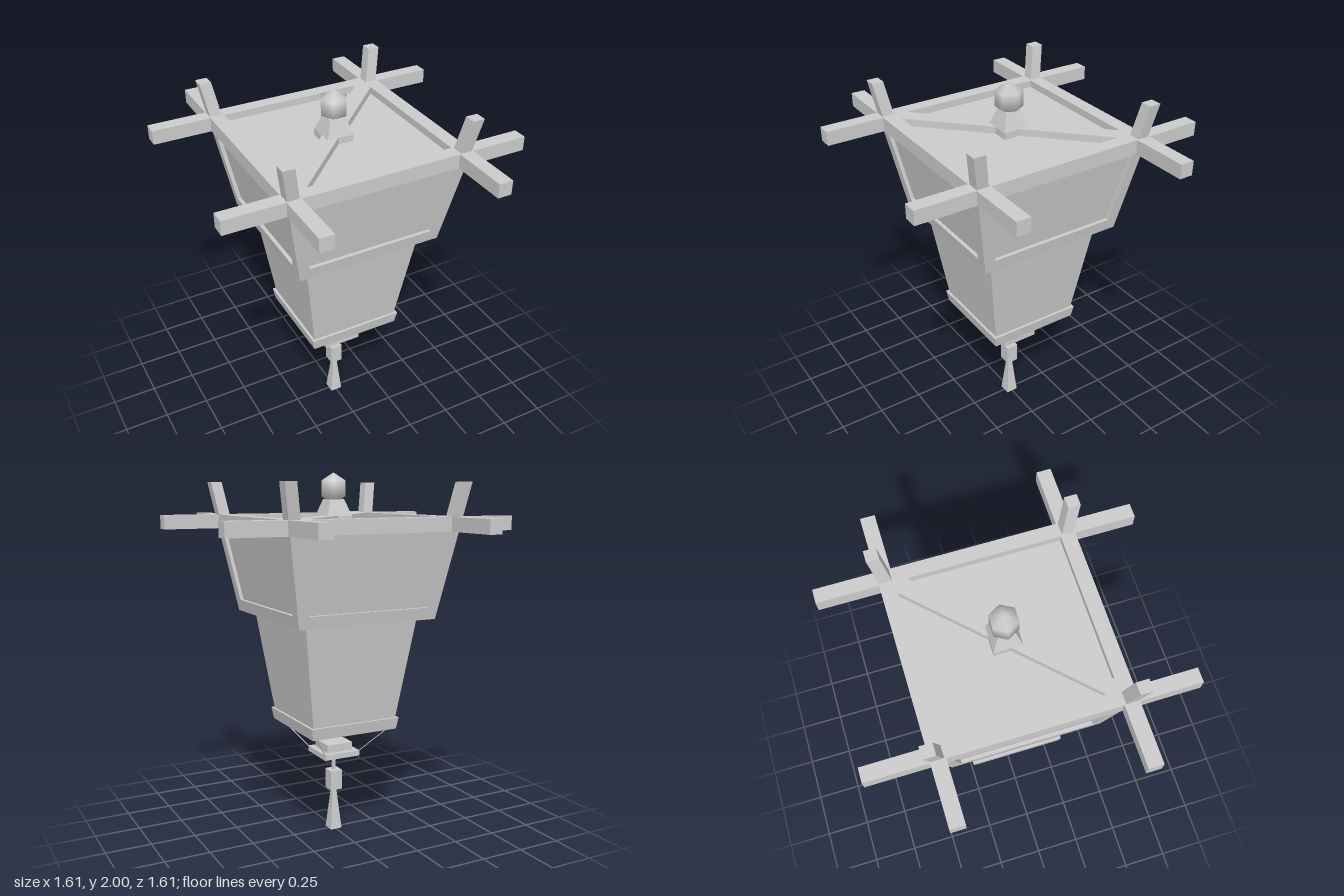
import * as THREE from 'three';

const material = new THREE.MeshStandardMaterial({ color: 0xcccccc });

function add(parent, name, geometry) {
  const mesh = new THREE.Mesh(geometry, material);
  mesh.name = name;
  parent.add(mesh);
  return mesh;
}

// Square block from y0 to y1 whose half width and corner offset change with height
function taper(y0, y1, half0, half1, offset0 = [0, 0], offset1 = [0, 0]) {
  const geometry = new THREE.BoxGeometry(2, 2, 2);
  const p = geometry.attributes.position;
  for (let i = 0; i < p.count; i++) {
    const top = p.getY(i) > 0;
    const half = top ? half1 : half0;
    const [ox, oz] = top ? offset1 : offset0;
    p.setXYZ(i, p.getX(i) * half + ox, top ? y1 : y0, p.getZ(i) * half + oz);
  }
  geometry.computeVertexNormals();
  return geometry;
}

export function createModel() {
  const lantern = new THREE.Group();
  lantern.name = 'hangingLantern';

  // Outer half width of the sloping upper frame at a given height
  const outer = (y) => 0.397 + 0.175 * (y - 1.24);
  const postHalf = 0.031;

  // Lower body with its bottom band
  add(lantern, 'lowerBody', taper(0.63, 1.25, 0.243, 0.329));
  add(lantern, 'bottomBand', taper(0.62, 0.685, 0.254, 0.265));

  // Upper body: bottom rail and recessed panels
  add(lantern, 'upperRail', taper(1.24, 1.305, outer(1.24), outer(1.305)));
  add(lantern, 'upperPanels', taper(1.3, 1.72, outer(1.3) - 0.02, outer(1.72) - 0.02));

  // Leaning corner posts and the cords under each corner
  for (const sx of [-1, 1]) {
    for (const sz of [-1, 1]) {
      const at = (y) => [sx * (outer(y) - postHalf), sz * (outer(y) - postHalf)];
      add(lantern, 'cornerPost', taper(1.24, 1.95, postHalf, postHalf, at(1.24), at(1.95)));
      const cord = new THREE.LineCurve3(
        new THREE.Vector3(sx * 0.226, 0.625, sz * 0.226),
        new THREE.Vector3(sx * 0.102, 0.47, sz * 0.102),
      );
      add(lantern, 'cord', new THREE.TubeGeometry(cord, 1, 0.003, 4));
    }
  }

  // Crossing roof beams
  for (const s of [-1, 1]) {
    add(lantern, 'sideBeam', new THREE.BoxGeometry(0.075, 0.075, 1.61)).position.set(s * 0.457, 1.7375, 0);
    add(lantern, 'crossBeam', new THREE.BoxGeometry(1.61, 0.075, 0.075)).position.set(0, 1.7375, s * 0.457);
  }

  // Recessed roof board with a diagonal brace
  add(lantern, 'roofBoard', new THREE.BoxGeometry(0.86, 0.03, 0.86)).position.y = 1.722;
  const brace = add(lantern, 'diagonalBrace', new THREE.BoxGeometry(1.22, 0.065, 0.085));
  brace.position.y = 1.7425;
  brace.rotation.y = Math.PI / 4;

  // Finial: square foot and faceted ball
  add(lantern, 'finialBase', taper(1.73, 1.772, 0.073, 0.073));
  add(lantern, 'finialFoot', taper(1.772, 1.86, 0.073, 0.042));
  add(lantern, 'finialBall', new THREE.SphereGeometry(0.083, 6, 3)).position.y = 1.917;

  // Hanging plate, block, rod, bead and tassel
  add(lantern, 'hangingPlate', taper(0.445, 0.475, 0.107, 0.107));
  add(lantern, 'hangingBlock', taper(0.475, 0.52, 0.077, 0.077));
  add(lantern, 'tasselRod', taper(0.34, 0.45, 0.008, 0.008));
  add(lantern, 'tasselBead', taper(0.237, 0.35, 0.035, 0.035));
  add(lantern, 'tassel', taper(0, 0.24, 0.034, 0.011));

  return lantern;
}
